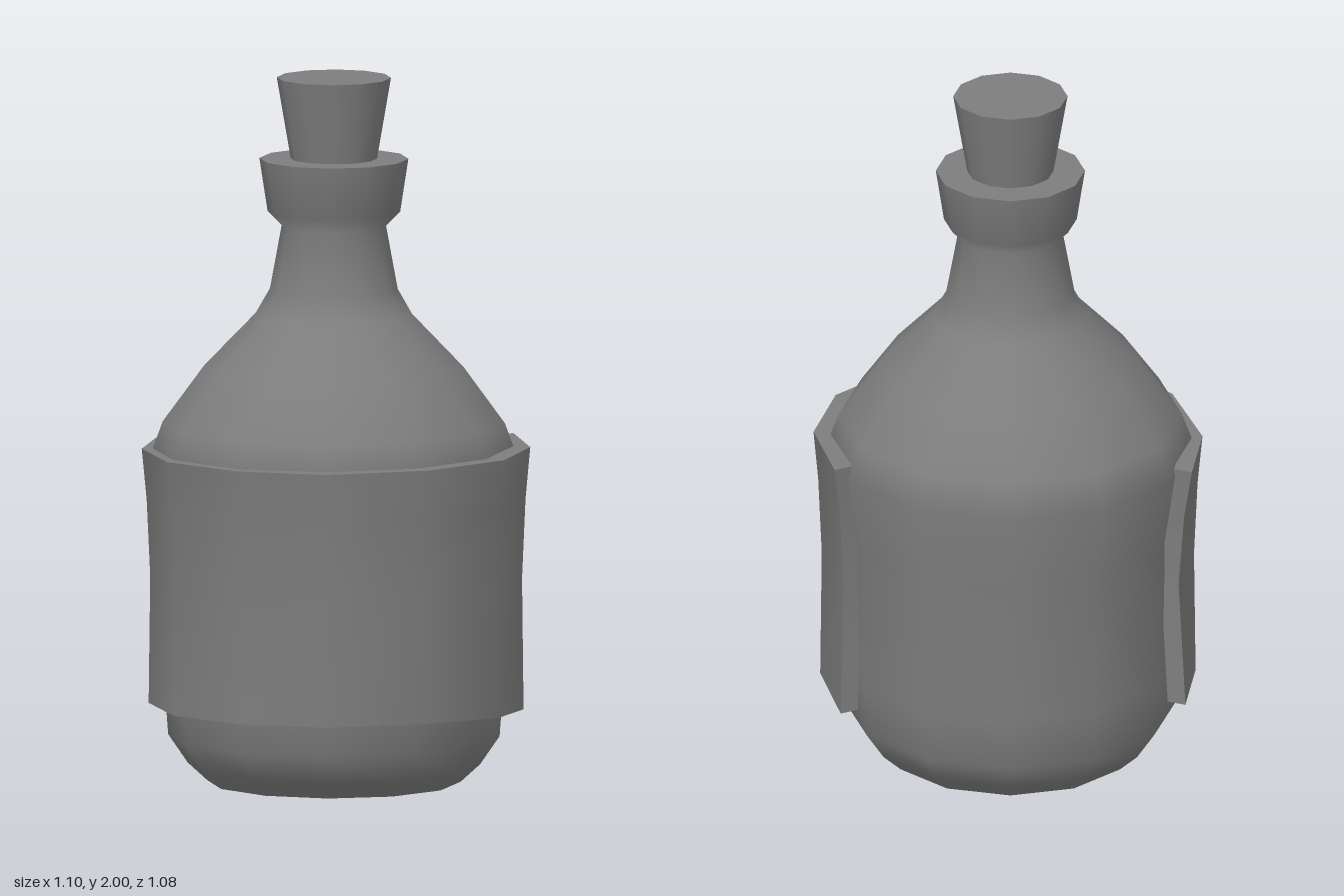
import * as THREE from 'three';
import { toCreasedNormals } from 'three/addons/utils/BufferGeometryUtils.js';

const SIDES = 12;
const material = new THREE.MeshStandardMaterial({ color: 0x7d7d7d });

function addMesh(parent, name, geometry) {
  const mesh = new THREE.Mesh(geometry, material);
  mesh.name = name;
  parent.add(mesh);
  return mesh;
}

// Flat disc facing up or down, with corners matching the lathe
function disc(radius, y, up) {
  return new THREE.CircleGeometry(radius, SIDES)
    .rotateX(up ? -Math.PI / 2 : Math.PI / 2)
    .translate(0, y, 0);
}

// Curved label: a closed strip of cross-sections swept around the bottle
function labelGeometry() {
  // Outer corners [x, z] at the top edge
  const path = [
    [0.548, 0.01], [0.467, 0.27], [0.285, 0.46], [0.007, 0.538], [-0.285, 0.47],
    [-0.465, 0.28], [-0.549, 0.01], [-0.48, -0.28], [-0.333, -0.475],
  ];
  const rows = [[0, 0.965], [0.5, 0.957], [0.8, 0.975], [1, 1]]; // height fraction, radius factor
  const thickness = 0.055;
  const last = path.length - 1;
  const positions = [];
  const index = [];
  path.forEach(([x, z], i) => {
    const t = i / last;
    const isEnd = i === 0 || i === last;
    const bottom = 0.2 + 0.03 * Math.min(1, t * 2.5) - 0.02 * Math.max(0, t - 0.4);
    const top = 0.957 - 0.016 * t;
    const r = Math.hypot(x, z);
    const section = (inner) => rows.map(([h, f]) => {
      // the ends are pinched towards the bottle at mid-height
      const bow = isEnd ? Math.sin(Math.PI * h) : 0;
      const k = f - 0.035 * bow - (inner ? thickness / r : 0);
      const sx = i === last ? -0.01 * bow : 0;
      const sz = (i === last ? 0.01 : 0.024) * bow;
      return [x * k + sx, bottom + (top - bottom) * h, z * k + sz];
    });
    positions.push(...section(false).flat(), ...section(true).reverse().flat());
  });
  const n = rows.length * 2;
  for (let i = 0; i < last; i++) {
    for (let j = 0; j < n; j++) {
      const a = i * n + j, b = i * n + (j + 1) % n;
      index.push(a, a + n, b, b, a + n, b + n);
    }
  }
  // End caps join each outer edge to the inner edge behind it
  const e = last * n;
  for (let j = 0; j < rows.length - 1; j++) {
    const p = j, q = j + 1, s = n - 2 - j, u = n - 1 - j;
    index.push(p, q, s, p, s, u);
    index.push(e + p, e + s, e + q, e + p, e + u, e + s);
  }
  // The path runs clockwise from above, so flip the faces to point outward
  index.reverse();
  const geometry = new THREE.BufferGeometry();
  geometry.setAttribute('position', new THREE.Float32BufferAttribute(positions, 3));
  geometry.setIndex(index);
  return toCreasedNormals(geometry, 0.9);
}

export function createModel() {
  const model = new THREE.Group();
  model.name = 'corkedBottle';

  const bottle = new THREE.Group();
  bottle.name = 'bottle';
  bottle.position.set(-0.005, 0, -0.021);
  model.add(bottle);

  // Smooth body, shoulder, neck and lip
  const profile = [
    [0.357, 0], [0.412, 0.05], [0.467, 0.13], [0.478, 0.28], [0.482, 0.7], [0.519, 0.92],
    [0.482, 1.02], [0.365, 1.18], [0.22, 1.33], [0.18, 1.4], [0.147, 1.58],
    [0.187, 1.62], [0.21, 1.77],
  ].map(([r, y]) => new THREE.Vector2(r, y));
  addMesh(bottle, 'body', new THREE.LatheGeometry(profile, SIDES));
  addMesh(bottle, 'base', disc(0.357, 0, false));
  addMesh(bottle, 'lipTop', disc(0.21, 1.77, true));

  // Tapered stopper
  const cork = addMesh(bottle, 'cork', new THREE.CylinderGeometry(0.161, 0.12, 0.24, SIDES));
  cork.position.y = 1.88;

  addMesh(model, 'label', labelGeometry());
  return model;
}
